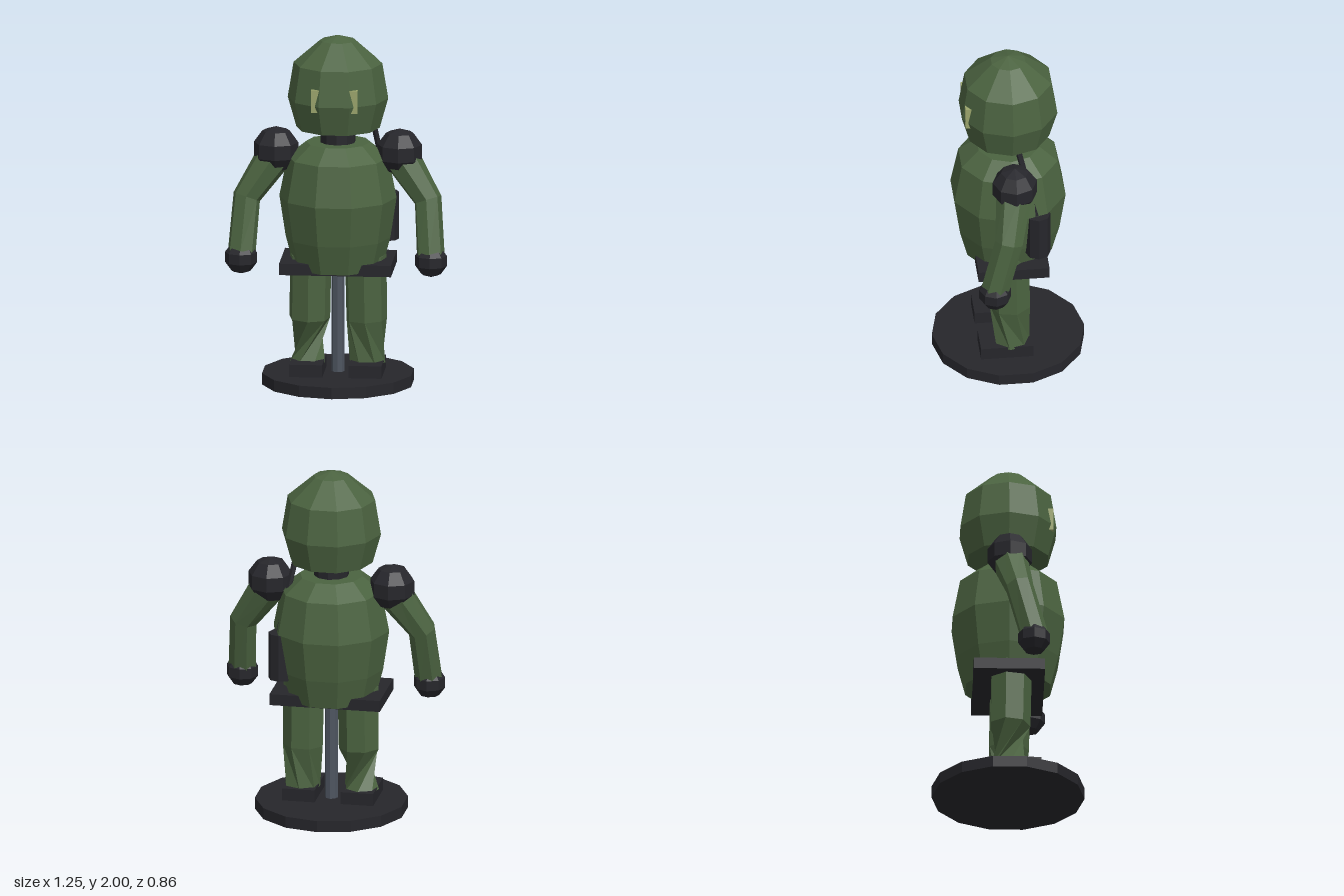
import * as THREE from 'three';

const mat = (color) => new THREE.MeshStandardMaterial({ color, flatShading: true, side: THREE.DoubleSide });

export function createModel() {
  const model = new THREE.Group();
  const green = mat(0x4b6340), dark = mat(0x26262b), steel = mat(0x4e5560), glow = mat(0x9ba56c);

  const add = (name, geometry, material, x = 0, y = 0, z = 0) => {
    const mesh = new THREE.Mesh(geometry, material);
    mesh.name = name;
    mesh.position.set(x, y, z);
    model.add(mesh);
    return mesh;
  };

  // Ten-sided turned body with flat faces to front and back
  const turned = (profile) => new THREE.LatheGeometry(
    profile.map(([r, y]) => new THREE.Vector2(r, y)), 10, Math.PI / 10);

  // Faceted limb through joints [x, y, z, radius]; twist turns the last ring
  const limb = (joints, sides, twist = 0) => {
    const last = joints.length - 1;
    const centres = joints.map(([x, y, z]) => new THREE.Vector3(x, y, z));
    const turns = centres.map((c, i) => {
      const tangent = centres[Math.min(i + 1, last)].clone().sub(centres[Math.max(i - 1, 0)]).normalize();
      return new THREE.Quaternion().setFromUnitVectors(new THREE.Vector3(0, -1, 0), tangent);
    });
    const geometry = new THREE.CylinderGeometry(1, 1, 1, sides, last);
    const pos = geometry.attributes.position;
    const v = new THREE.Vector3(), up = new THREE.Vector3(0, 1, 0);
    for (let k = 0; k < pos.count; k++) {
      v.fromBufferAttribute(pos, k);
      const i = Math.round((0.5 - v.y) * last);
      v.setY(0).multiplyScalar(joints[i][3]);
      if (i === last) v.applyAxisAngle(up, twist);
      v.applyQuaternion(turns[i]).add(centres[i]);
      pos.setXYZ(k, v.x, v.y, v.z);
    }
    geometry.computeVertexNormals();
    return geometry;
  };

  // Stand
  add('standBase', new THREE.CylinderGeometry(0.43, 0.43, 0.065, 14), dark, 0, 0.0325, 0);
  add('standPole', new THREE.CylinderGeometry(0.037, 0.037, 0.66, 8), steel, 0, 0.39, 0);

  // Trunk, neck and head
  add('torso', turned([[0, 0.67], [0.25, 0.67], [0.295, 0.84], [0.33, 1.07], [0.285, 1.3], [0.18, 1.385], [0, 1.385]]), green);
  add('hipPlate', new THREE.BoxGeometry(0.63, 0.065, 0.4), dark, 0, 0.688, 0);
  add('neck', new THREE.CylinderGeometry(0.1, 0.1, 0.14, 10), dark, 0, 1.43, 0);
  add('head', turned([[0, 1.47], [0.235, 1.47], [0.283, 1.64], [0.25, 1.84], [0.1, 1.97], [0, 2]]), green);

  // Paired parts
  for (const s of [1, -1]) {
    const side = s > 0 ? 'left' : 'right';
    add(side + 'Eye', new THREE.BoxGeometry(0.08, 0.13, 0.06), glow, s * 0.09, 1.67, 0.223);
    add(side + 'Shoulder', new THREE.SphereGeometry(0.132, 8, 5), dark, s * 0.348, 1.335, 0);
    add(side + 'Arm', limb([[s * 0.35, 1.31, 0, 0.105], [s * 0.51, 1.07, 0.05, 0.08], [s * 0.532, 0.77, 0.13, 0.08]], 7), green);
    add(side + 'Hand', new THREE.SphereGeometry(0.094, 8, 5), dark, s * 0.535, 0.74, 0.132);
    add(side + 'Leg', limb([[s * 0.155, 0.74, 0.01, 0.12], [s * 0.16, 0.37, 0.005, 0.117], [s * 0.168, 0.12, 0, 0.102]], 7, s * 1.4), green);
    add(side + 'Boot', new THREE.BoxGeometry(0.186, 0.072, 0.295), dark, s * 0.167, 0.1, 0.033);
  }

  // Side canister with a thin rod rising past the shoulder
  add('canister', new THREE.CylinderGeometry(0.07, 0.07, 0.27, 8), dark, 0.262, 0.935, -0.14);
  add('canisterRod', limb([[0.195, 1.5, -0.03, 0.017], [0.275, 1.07, -0.13, 0.017]], 6), dark);

  return model;
}
